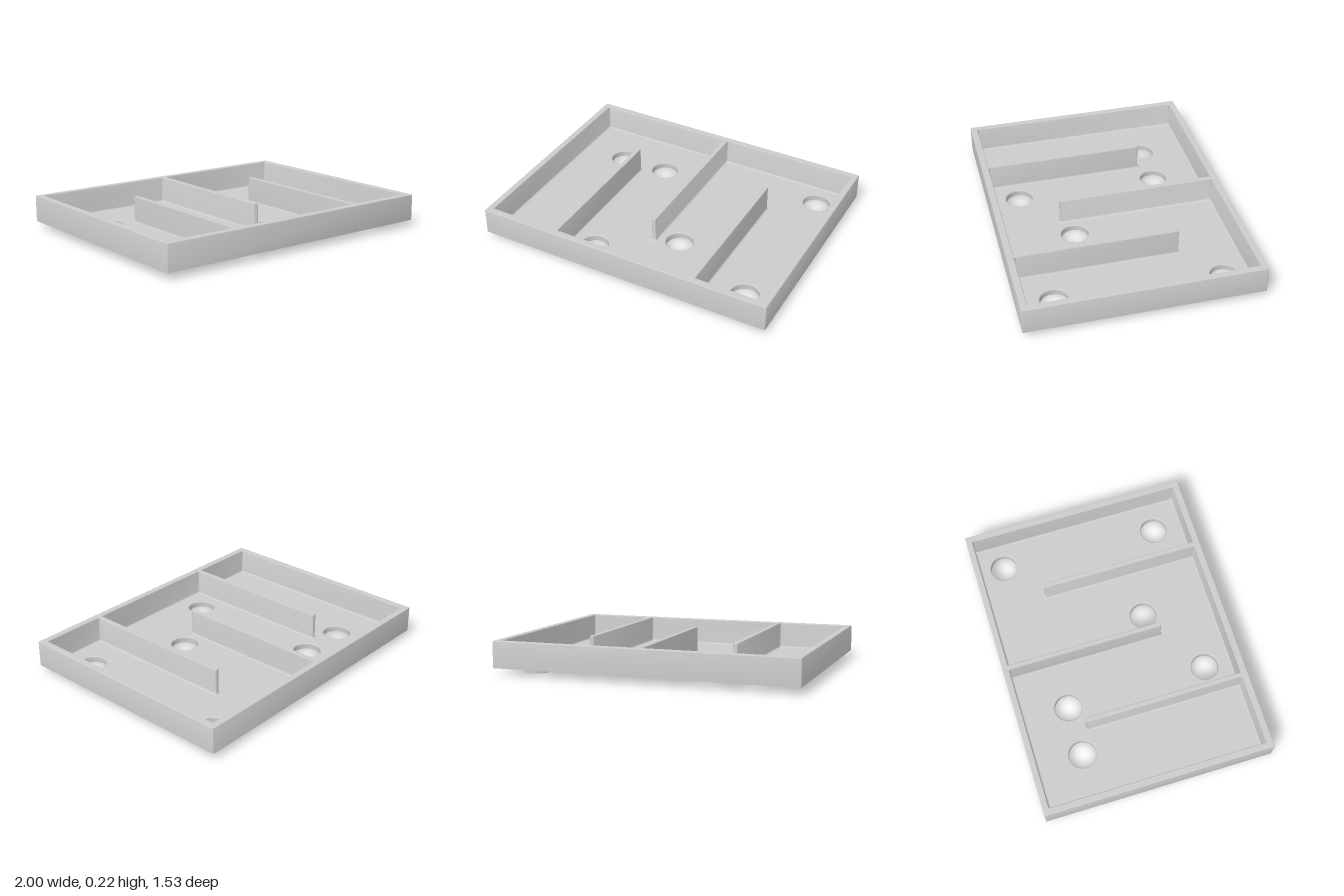
import * as THREE from 'three';
import { toCreasedNormals } from 'three/addons/utils/BufferGeometryUtils.js';

const BASE = 0.04, TOP = 0.215, HOLE_R = 0.09, FLARE = 0.008, FILLET = 0.012;
const HOLES = [[-0.645, -0.415], [-0.313, -0.415], [0.785, -0.56], [0.165, 0.257], [-0.307, 0.54], [0.757, 0.52]];
const material = new THREE.MeshStandardMaterial({ color: 0xcccccc, side: THREE.DoubleSide });

// Polygon with softened corners; plan coordinates are (x, -z), counter-clockwise.
function softened(points, r, steps = 4) {
  const out = [], n = points.length;
  const v = points.map(([x, y]) => new THREE.Vector2(x, y));
  v.forEach((p, i) => {
    const a = p.clone().add(v[(i + n - 1) % n].clone().sub(p).setLength(r));
    const b = p.clone().add(v[(i + 1) % n].clone().sub(p).setLength(r));
    out.push(...new THREE.QuadraticBezierCurve(a, p, b).getPoints(steps));
  });
  return out;
}

// Outer outline of the tray, inset by d.
function outer(d) {
  const x = 1 - d, w = 0.763 - d;
  return softened([[-x, -w], [x, -w], [x, w], [-x, w]], 0.008);
}

// Outline of the tray's inside, running round the three dividers, inset by d.
function inner(d) {
  const h = 0.015 + d, xl = -0.957 + d, xr = 0.955 - d, front = -0.718 + d, back = 0.722 - d;
  const frontDivider = x => [[x - h, front], [x - h, 0.342 + d], [x + h, 0.342 + d], [x + h, front]];
  return softened([
    [xl, front], ...frontDivider(-0.48), ...frontDivider(0.5), [xr, front], [xr, back],
    [0.01 + h, back], [0.01 + h, -0.325 - d], [0.01 - h, -0.325 - d], [0.01 - h, back], [xl, back],
  ], 0.009);
}

// Skin between stacked outlines given as [points, height].
function loft(rings) {
  const pos = [], index = [], n = rings[0][0].length;
  rings.forEach(([pts, y], k) => pts.forEach((p, i) => {
    pos.push(p.x, y, -p.y);
    if (k === rings.length - 1) return;
    const a = k * n + i, b = k * n + (i + 1) % n;
    index.push(a, b, b + n, a, b + n, a + n);
  }));
  const g = new THREE.BufferGeometry();
  g.setAttribute('position', new THREE.Float32BufferAttribute(pos, 3));
  g.setIndex(index);
  return toCreasedNormals(g, 0.65);
}

function flat(shape, y) {
  return new THREE.ShapeGeometry(shape, 24).rotateX(-Math.PI / 2).translate(0, y, 0);
}

export function createModel() {
  const model = new THREE.Group();
  model.name = 'dividedTray';
  const add = (name, geometry) => {
    const mesh = new THREE.Mesh(geometry, material);
    mesh.name = name;
    model.add(mesh);
    return mesh;
  };

  // Outer wall with a slightly rounded top edge
  const e = 0.006;
  add('outerWall', loft([[outer(0), BASE], [outer(0), TOP - e], [outer(e * 0.3), TOP - e * 0.3], [outer(e), TOP]]));

  // Rim and divider tops in one piece
  const rim = new THREE.Shape(outer(e));
  rim.holes.push(new THREE.Path(inner(-0.003)));
  add('rimAndDividerTops', flat(rim, TOP));

  // Inner walls and divider sides, filleted into the floor
  const rings = [[inner(-0.003), TOP], [inner(0), TOP - 0.004]];
  for (let i = 0; i <= 3; i++) {
    const t = i / 3 * Math.PI / 2;
    rings.push([inner(FILLET * (1 - Math.cos(t))), BASE + FILLET * (1 - Math.sin(t))]);
  }
  add('innerWallsAndDividers', loft(rings));

  // Floor sheet with round openings
  const floor = new THREE.Shape(inner(FILLET));
  for (const [x, z] of HOLES) {
    floor.holes.push(new THREE.Path().absarc(x, -z, HOLE_R + FLARE, 0, Math.PI * 2, true));
  }
  add('floor', flat(floor, BASE));

  // Short open collars hanging below the openings, flared where they meet the floor
  const profile = [new THREE.Vector2(HOLE_R, 0)];
  for (let i = 0; i <= 4; i++) {
    const t = i / 4 * Math.PI / 2;
    profile.push(new THREE.Vector2(HOLE_R + FLARE * (1 - Math.cos(t)), BASE - FLARE * (1 - Math.sin(t))));
  }
  const collar = new THREE.LatheGeometry(profile, 48);
  for (const [x, z] of HOLES) add('holeCollar', collar).position.set(x, 0, z);

  return model;
}
